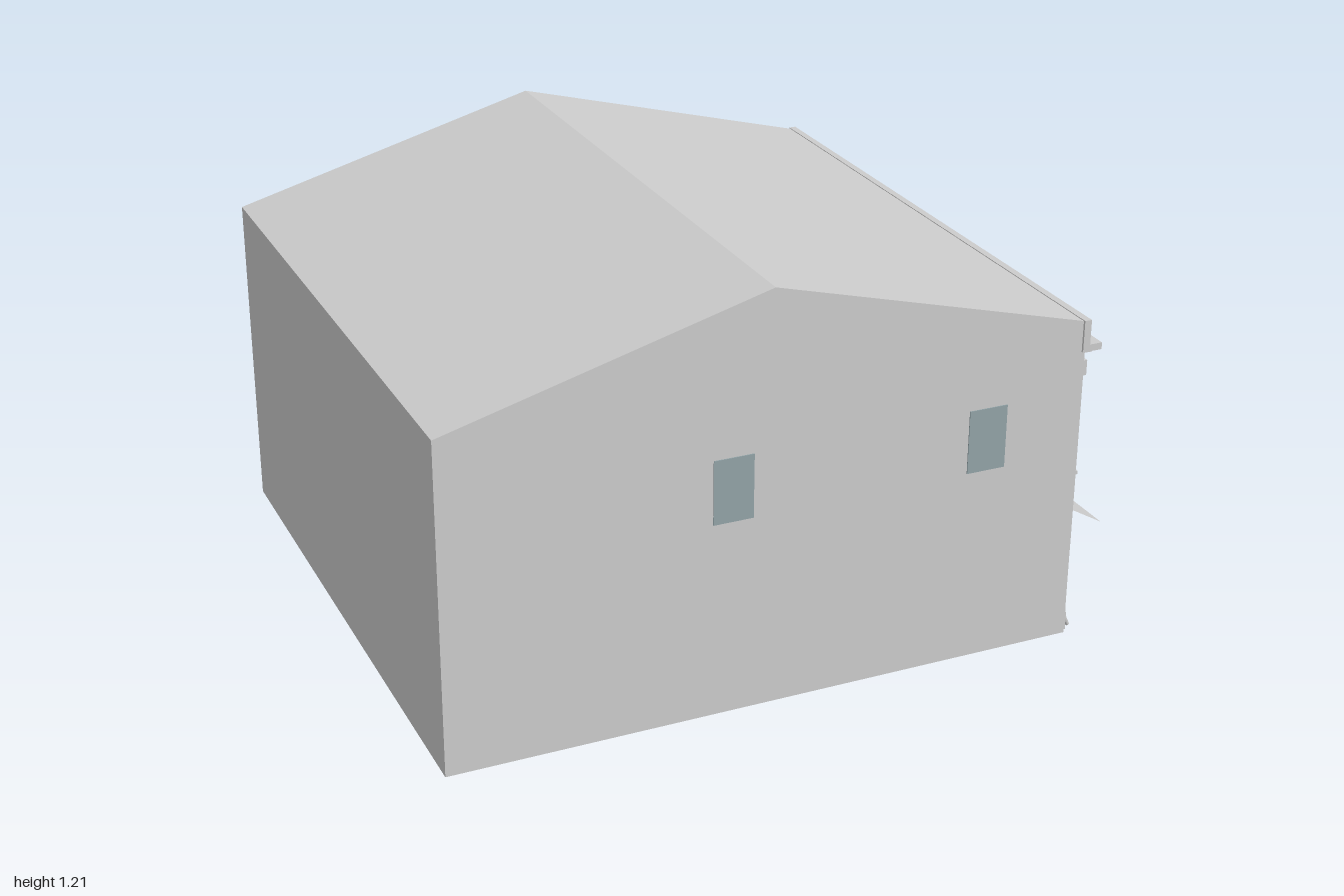
import * as THREE from 'three';

export function createModel() {
  const wallMat = new THREE.MeshStandardMaterial({ color: 0xcccccc, side: THREE.DoubleSide });
  wallMat.name = 'paleGrey';
  const glassMat = new THREE.MeshStandardMaterial({ color: 0x92a3a7, side: THREE.DoubleSide });
  glassMat.name = 'blueGreyGlass';

  const model = new THREE.Group();
  model.name = 'shopBuilding';
  const add = (name, geo, mat = wallMat, parent = model) => {
    const m = new THREE.Mesh(geo, mat);
    m.name = name;
    parent.add(m);
    return m;
  };
  // Box given by its limits on each axis
  const box = (name, [x0, x1], [y0, y1], [z0, z1], mat, parent) => {
    const m = add(name, new THREE.BoxGeometry(x1 - x0, y1 - y0, z1 - z0), mat, parent);
    m.position.set((x0 + x1) / 2, (y0 + y1) / 2, (z0 + z1) / 2);
    return m;
  };
  const group = (name) => {
    const g = new THREE.Group();
    g.name = name;
    model.add(g);
    return g;
  };
  const rect = (x0, x1, y0, y1, Type = THREE.Path) =>
    new Type([[x0, y0], [x1, y0], [x1, y1], [x0, y1]].map(p => new THREE.Vector2(...p)));

  const L = -1, F = 0.855, D = 0.89, EAVE = 0.96, RIDGE = 1.21, RX = -0.08;

  // Gabled end walls, with two plain windows each
  const gable = new THREE.Shape(
    [[L, 0], [F, 0], [F, EAVE], [RX, RIDGE], [L, EAVE]].map(p => new THREE.Vector2(...p)));
  for (const s of [1, -1]) {
    add(s > 0 ? 'frontGableWall' : 'backGableWall', new THREE.ShapeGeometry(gable)).position.z = s * D;
    for (const x of [-0.19, 0.563]) {
      const w = add('sideWindow', new THREE.BoxGeometry(0.115, 0.185, 0.006), glassMat);
      w.position.set(x, 0.665, s * D);
    }
  }
  // Rear wall, open underneath
  const rear = add('rearWall', new THREE.PlaneGeometry(2 * D, EAVE));
  rear.rotation.y = -Math.PI / 2;
  rear.position.set(L, EAVE / 2, 0);

  // Two roof slopes
  const slope = (name, xa, ya, xb, yb, halfZ) => {
    const g = new THREE.PlaneGeometry(Math.hypot(xb - xa, yb - ya), 2 * halfZ);
    g.rotateX(-Math.PI / 2).rotateZ(Math.atan2(yb - ya, xb - xa));
    add(name, g).position.set((xa + xb) / 2, (ya + yb) / 2, 0);
  };
  slope('leftRoofSlope', L, EAVE, RX, RIDGE, D);
  slope('rightRoofSlope', RX, RIDGE, F, EAVE, D);

  // Street wall with window openings and a doorway
  const winZ = [0.69, 0.345, 0, -0.345, -0.69];
  const facade = rect(-D + 0.01, D - 0.01, 0, EAVE, THREE.Shape);
  for (const z of winZ) facade.holes.push(rect(-z - 0.06, -z + 0.06, 0.57, 0.77));
  facade.holes.push(rect(-0.075, 0.075, 0.05, 0.265));
  const fg = new THREE.ExtrudeGeometry(facade, { depth: 0.025, bevelEnabled: false });
  fg.rotateY(Math.PI / 2);
  add('streetWall', fg).position.x = F - 0.025;

  // Upper sash windows
  winZ.forEach((z, i) => {
    const g = group('sashWindow');
    const part = (name, xs, ys, a, b, mat) => box(name, xs, ys, [z + a, z + b], mat, g);
    part('pane', [F - 0.024, F - 0.019], [0.57, 0.77], -0.06, 0.06, glassMat);
    for (const s of [-1, 1]) {
      const e = [s * 0.052, s * 0.066].sort((a, b) => a - b);
      part('jamb', [F - 0.02, F + 0.006], [0.56, 0.775], ...e);
    }
    part('meetingRail', [F - 0.02, F - 0.008], [0.662, 0.672], -0.055, 0.055);
    for (const y of [0.62, 0.72]) part('glazingBar', [F - 0.02, F - 0.015], [y - 0.0015, y + 0.0015], -0.055, 0.055);
    for (const c of [-0.027, 0, 0.027]) part('glazingBar', [F - 0.02, F - 0.015], [0.57, 0.77], c - 0.0015, c + 0.0015);
    part('sill', [F - 0.02, F + 0.016], [0.558, 0.57], -0.066, 0.066);
    part('head', [F - 0.02, F + 0.01], [0.764, 0.78], -0.066, 0.066);
    part('hood', [F, F + 0.016], [0.78, 0.791], -0.076, 0.076);
    if (i > 1) part('airConditioner', [F - 0.02, 0.904], [0.58, 0.632], -0.033, 0.033);
  });

  // Parapet, cornice and dentils
  box('parapet', [0.845, 0.866], [0.875, 0.965], [-0.897, 0.897]);
  box('corniceShelf', [0.845, 0.905], [0.872, 0.892], [-0.895, 0.895]);
  box('corniceMoulding', [F, 0.888], [0.86, 0.872], [-0.875, 0.875]);
  box('frieze', [F, 0.864], [0.838, 0.86], [-0.87, 0.87]);
  const dentils = group('dentils');
  for (let i = 0; i < 25; i++) {
    const z = (i - 12) * 0.069;
    box('dentil', [0.86, 0.892], [0.845, 0.872], [z - 0.01, z + 0.01], wallMat, dentils);
  }

  // Stringcourse and sign panels
  box('stringCourse', [F, F + 0.008], [0.489, 0.499], [-0.87, 0.87]);
  box('centreSignPanel', [F, F + 0.006], [0.385, 0.489], [-0.435, 0.435]);
  for (const s of [-1, 1]) {
    const side = (a, b) => [s * a, s * b].sort((p, q) => p - q);
    // Corner trim and downpipes with kicked-out feet
    box('cornerBracket', [F, 0.872], [0.795, 0.84], side(0.862, 0.88));
    box('cornerPlinth', [F, 0.868], [0, 0.055], side(0.85, 0.876));
    box('pipeClip', [F, 0.874], [0.49, 0.5], side(0.85, 0.872));
    const path = new THREE.CatmullRomCurve3([
      [0.868, 0.85], [0.868, 0.6], [0.868, 0.3], [0.868, 0.07], [0.872, 0.03], [0.885, 0.005],
    ].map(([x, y]) => new THREE.Vector3(x, y, s * 0.861)));
    add('downpipe', new THREE.TubeGeometry(path, 24, 0.006, 8));
    // Shopfront plinth, sill and posts
    box('shopPlinth', [F, F + 0.004], [0, 0.064], side(0.078, 0.85));
    box('shopSill', [F, F + 0.012], [0.064, 0.074], side(0.078, 0.835));
    for (const z of [0.078, 0.227, 0.377, 0.527, 0.676, 0.827])
      box('shopPost', [F, F + 0.009], [0.074, 0.268], side(z - 0.004, z + 0.004));
    // Recess side walls with small rails
    box('recessSide', [0.735, F], [0, 0.265], side(0.073, 0.077));
    for (const y of [0.14, 0.205]) box('recessRail', [0.745, F], [y, y + 0.008], side(0.068, 0.075));
  }
  box('shopFascia', [F, F + 0.012], [0.265, 0.29], [-0.82, 0.82]);
  box('awningRail', [F, F + 0.012], [0.366, 0.378], [-0.83, 0.83]);

  // Recessed entrance
  box('recessBack', [0.73, 0.735], [0, 0.265], [-0.077, 0.077]);
  box('recessCeiling', [0.735, F], [0.262, 0.266], [-0.077, 0.077]);
  box('entranceStep', [0.735, F + 0.003], [0, 0.05], [-0.075, 0.075]);
  box('doorFrame', [0.735, 0.742], [0.05, 0.258], [-0.062, 0.062]);
  box('doorGlass', [0.742, 0.746], [0.058, 0.243], [-0.052, 0.052], glassMat);
  box('doorHandle', [0.746, 0.754], [0.11, 0.14], [-0.002, 0.002]);

  // Sloping awning
  slope('awning', 0.86, 0.372, 1, 0.29, 0.82);

  // Partial ground floor, with round plates beneath
  box('shopFloor', [0.08, F - 0.02], [0.02, 0.03], [-D + 0.005, D - 0.005]);
  for (const s of [-1, 1]) for (let i = 0; i < 6; i++) {
    const plate = add('floorPlate', new THREE.CylinderGeometry(0.022, 0.022, 0.008, 16));
    plate.position.set(0.5, 0.017, s * (0.18 + i * 0.113));
  }
  return model;
}
